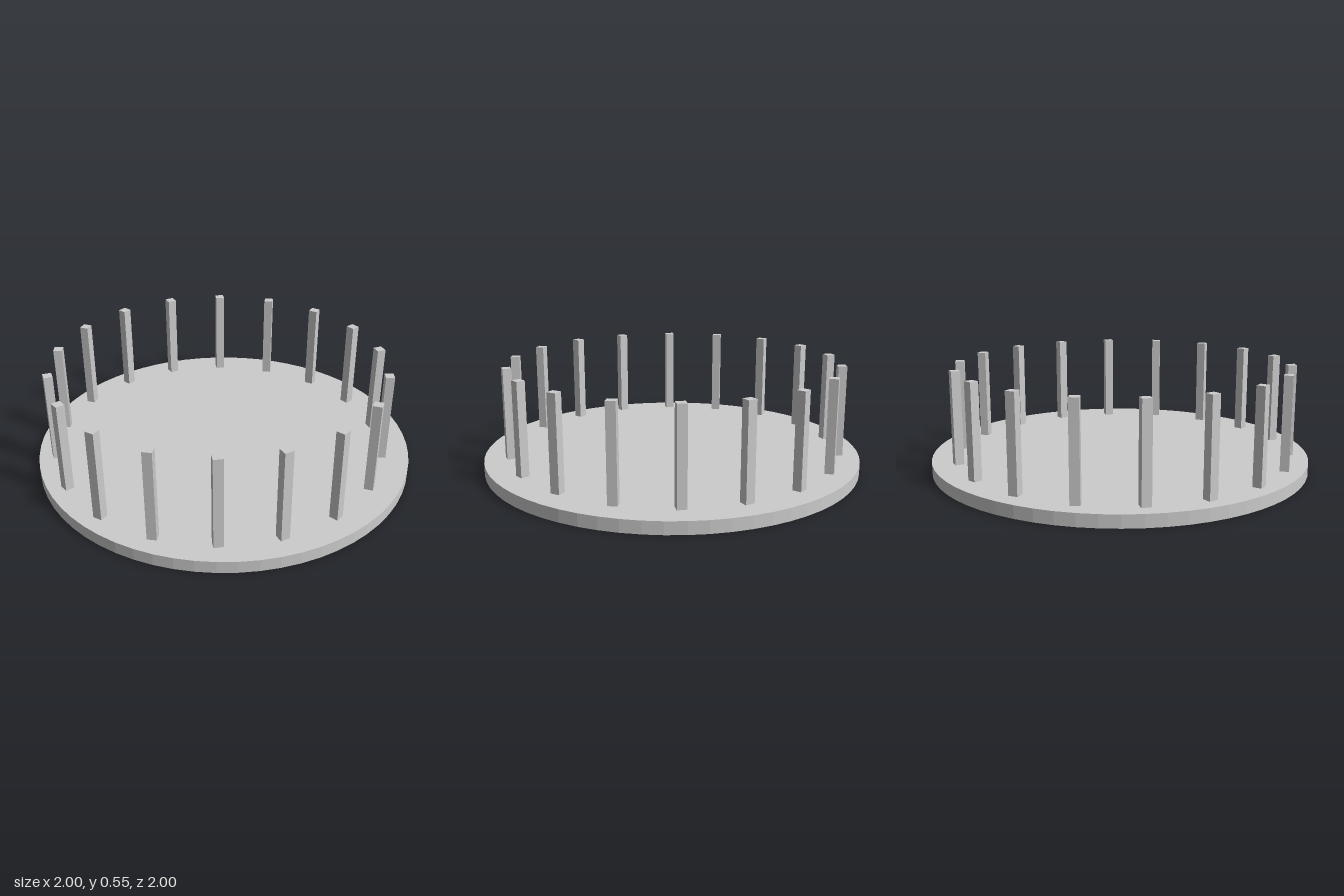
import * as THREE from 'three';

export function createModel() {
  const group = new THREE.Group();
  const material = new THREE.MeshStandardMaterial({ color: 0xcccccc, flatShading: true });
  const baseHeight = 0.064, topHeight = 0.547;

  // Round base plate
  const base = new THREE.Mesh(new THREE.CylinderGeometry(1, 1, baseHeight, 64), material);
  base.name = 'basePlate';
  base.position.y = baseHeight / 2;
  group.add(base);

  // Ring of square posts, slightly off-centre, each turned 10 degrees from radial
  const count = 18, ringRadius = 0.878, centreX = -0.023, centreZ = 0.015;
  const postHeight = topHeight - baseHeight;
  const postGeometry = new THREE.BoxGeometry(0.046, postHeight, 0.048);
  const posts = new THREE.Group();
  posts.name = 'postRing';
  posts.position.set(centreX, baseHeight + postHeight / 2, centreZ);
  for (let i = 0; i < count; i++) {
    const angle = (i / count) * Math.PI * 2;
    const post = new THREE.Mesh(postGeometry, material);
    post.name = `post${i + 1}`;
    post.position.set(Math.cos(angle) * ringRadius, 0, -Math.sin(angle) * ringRadius);
    post.rotation.y = angle + Math.PI / 18;
    posts.add(post);
  }
  group.add(posts);

  return group;
}
